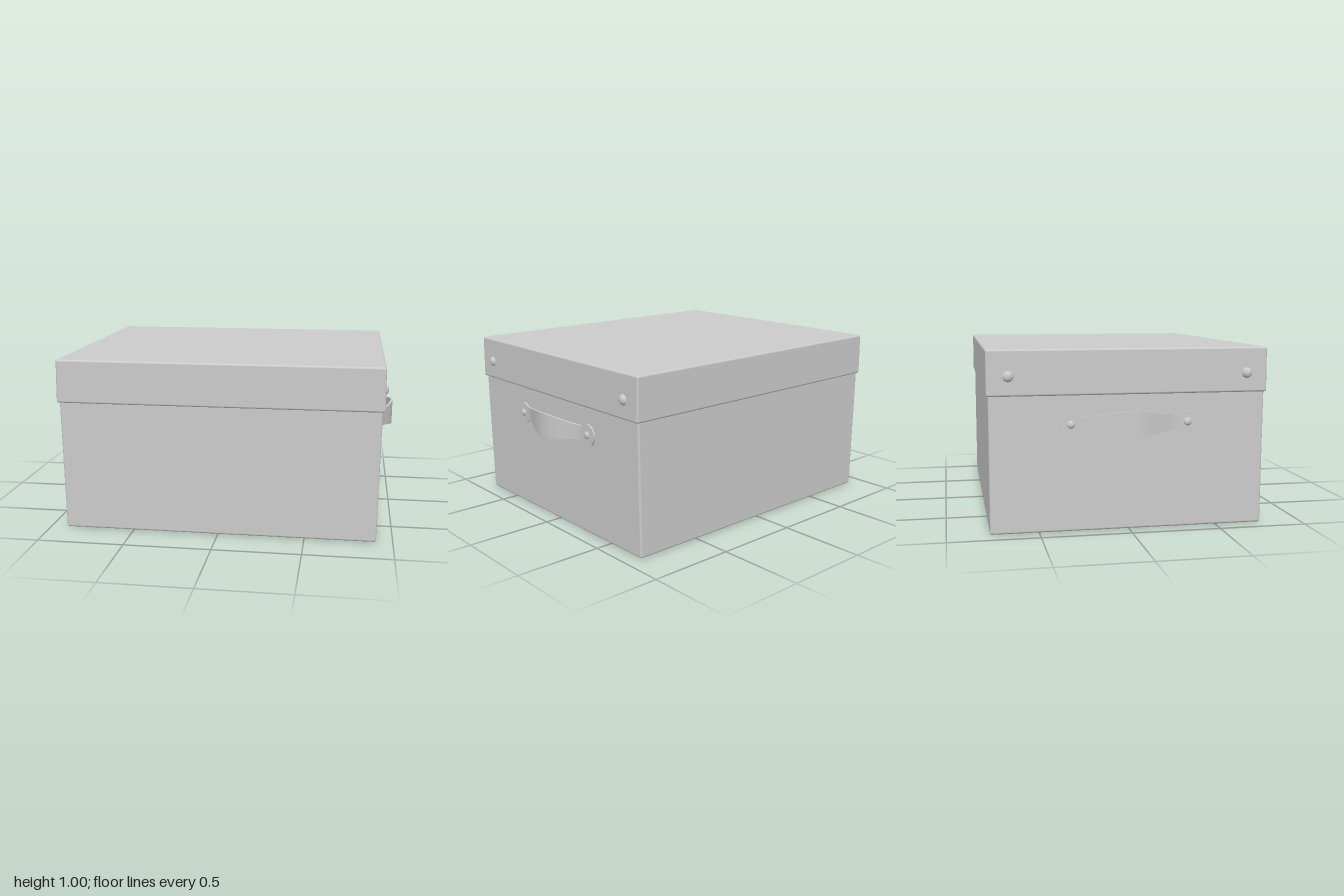
import * as THREE from 'three';
import { RoundedBoxGeometry } from 'three/addons/geometries/RoundedBoxGeometry.js';

const material = new THREE.MeshStandardMaterial({ color: 0xcccccc });

function add(parent, name, geometry, x = 0, y = 0, z = 0) {
  const mesh = new THREE.Mesh(geometry, material);
  mesh.name = name;
  mesh.position.set(x, y, z);
  parent.add(mesh);
  return mesh;
}

// Box that narrows slightly along y in x
function taperedBox(w, h, d, radius, bottomScale, topScale) {
  const geo = new RoundedBoxGeometry(w, h, d, 3, radius);
  const p = geo.attributes.position;
  for (let i = 0; i < p.count; i++) {
    const t = p.getY(i) / h + 0.5;
    p.setX(i, p.getX(i) * THREE.MathUtils.lerp(bottomScale, topScale, t));
  }
  return geo;
}

// Strap with round ends, a narrow neck and a wide middle bowed outwards
function strapGeometry() {
  const halfLength = 0.39, endZ = 0.327, endRadius = 0.063, bowHalf = 0.28;
  const geo = new THREE.BoxGeometry(0.013, 1, 1, 1, 1, 72);
  const p = geo.attributes.position;
  for (let i = 0; i < p.count; i++) {
    const z = halfLength * Math.sin(Math.PI * p.getZ(i));
    const a = Math.abs(z);
    const disc = Math.sqrt(Math.max(0, endRadius ** 2 - (a - endZ) ** 2));
    const wave = a < bowHalf ? 0.5 + 0.5 * Math.cos(Math.PI * a / bowHalf) : 0;
    const band = a < endZ ? 0.042 + 0.032 * wave : 0;
    const half = Math.max(disc, band, 0.003);
    const bow = 0.077 * Math.pow(wave, 0.8);
    p.setXYZ(i, p.getX(i) + bow, p.getY(i) * 2 * half, z);
  }
  geo.computeVertexNormals();
  return geo;
}

export function createModel() {
  const group = new THREE.Group();
  group.name = 'storageBox';

  // Body and overlapping lid
  add(group, 'body', taperedBox(1.82, 0.9, 1.535, 0.012, 0.995, 1.008), 0, 0.455, 0);
  add(group, 'lid', taperedBox(1.86, 0.25, 1.555, 0.012, 1, 0.995), 0, 0.883, 0);

  const strap = strapGeometry();
  const dome = new THREE.SphereGeometry(1, 24, 16);

  // Handle and rivets on each end
  for (const side of [1, -1]) {
    const end = new THREE.Group();
    end.name = side > 0 ? 'leftEnd' : 'rightEnd';
    if (side < 0) end.rotation.y = Math.PI;
    group.add(end);

    add(end, 'handleStrap', strap, 0.917, 0.6, 0);
    for (const z of [1, -1]) {
      add(end, 'handleRivet', dome, 0.919, 0.6, z * 0.325).scale.set(0.016, 0.023, 0.023);
      add(end, 'lidRivet', dome, 0.924, 0.865, z * 0.66).scale.set(0.022, 0.03, 0.03);
    }
  }
  return group;
}
